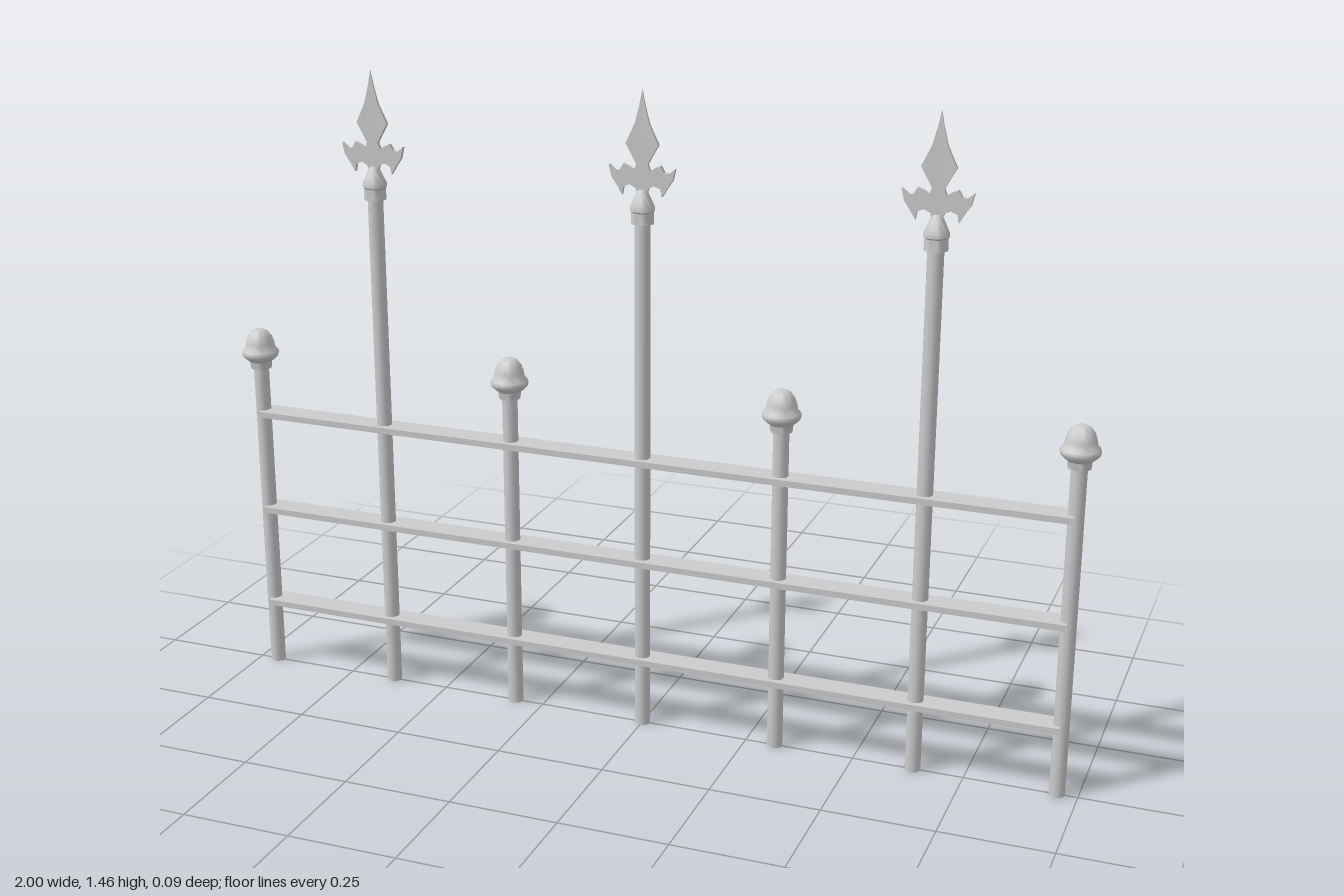
import * as THREE from 'three';
import { toCreasedNormals } from 'three/addons/utils/BufferGeometryUtils.js';

const solid = new THREE.MeshStandardMaterial({ color: 0xcccccc });
const open = new THREE.MeshStandardMaterial({ color: 0xcccccc, side: THREE.DoubleSide });
const SPACING = 0.3183, POST_RADIUS = 0.0174;

function part(name, geometry, x = 0, y = 0, material = solid) {
  const mesh = new THREE.Mesh(geometry, material);
  mesh.name = name;
  mesh.position.set(x, y, 0);
  return mesh;
}

function turned(profile) {
  const points = profile.map(([r, y]) => new THREE.Vector2(r, y));
  return toCreasedNormals(new THREE.LatheGeometry(points, 20), 0.7);
}

// Flat spearhead with two barbed arms, thinning towards its point
function spearGeometry() {
  const half = [
    [0.006, 1.43], [0.016, 1.39], [0.029, 1.362], [0.037, 1.346], [0.025, 1.325], [0.013, 1.303],
    [0.018, 1.289], [0.03, 1.297], [0.042, 1.302], [0.05, 1.288], [0.06, 1.286],
    [0.075, 1.298], [0.069, 1.272], [0.057, 1.255], [0.045, 1.235],
    [0.042, 1.252], [0.028, 1.258], [0.015, 1.252], [0.008, 1.235],
  ];
  const outline = [[0, 1.462], ...half, ...half.slice().reverse().map(([x, y]) => [-x, y])];
  const shape = new THREE.Shape(outline.map(([x, y]) => new THREE.Vector2(x, y)));
  const geometry = new THREE.ExtrudeGeometry(shape, { depth: 1, bevelEnabled: false });
  geometry.translate(0, 0, -0.5);
  const p = geometry.attributes.position;
  for (let i = 0; i < p.count; i++) {
    const t = THREE.MathUtils.clamp((1.462 - p.getY(i)) / 0.11, 0, 1);
    p.setZ(i, p.getZ(i) * THREE.MathUtils.lerp(0.002, 0.009, t));
  }
  geometry.computeVertexNormals();
  return geometry;
}

// Flat bar with open ends: a four-sided tube laid along x
function railGeometry(length, height, depth) {
  const geometry = new THREE.CylinderGeometry(Math.SQRT1_2, Math.SQRT1_2, length, 4, 1, true, Math.PI / 4);
  geometry.rotateZ(Math.PI / 2).scale(1, height, depth);
  return toCreasedNormals(geometry, 0.5);
}

export function createModel() {
  const fence = new THREE.Group();
  fence.name = 'fence';

  // Collar, flared skirt and dome on the short posts
  const acorn = turned([
    [0.017, 0.747], [0.024, 0.747], [0.026, 0.764], [0.033, 0.769], [0.041, 0.777], [0.043, 0.784],
    [0.041, 0.79], [0.035, 0.796], [0.033, 0.808], [0.028, 0.823], [0.02, 0.834], [0.01, 0.84], [0, 0.842],
  ]);
  // Collar and pointed cap under each spearhead
  const collar = turned([
    [0.017, 1.175], [0.025, 1.175], [0.024, 1.2], [0.027, 1.203], [0.027, 1.211],
    [0.021, 1.224], [0.014, 1.24], [0.009, 1.248], [0, 1.25],
  ]);
  const spear = spearGeometry();

  // Tall posts sit at the even steps, so the outermost posts are short
  for (let i = -3; i <= 3; i++) {
    const tall = i % 2 === 0;
    const height = tall ? 1.18 : 0.755;
    const x = i * SPACING;
    const post = new THREE.CylinderGeometry(POST_RADIUS, POST_RADIUS, height, 20, 1, true);
    fence.add(part(tall ? 'tallPost' : 'shortPost', post, x, height / 2, open));
    if (tall) fence.add(part('spearCollar', collar, x), part('spearhead', spear, x));
    else fence.add(part('acornCap', acorn, x));
  }

  // Flat horizontal rails, slightly deeper than the posts
  const rail = railGeometry(6 * SPACING, 0.014, 0.058);
  for (const y of [0.161, 0.4, 0.639]) fence.add(part('rail', rail, 0, y, open));
  return fence;
}
